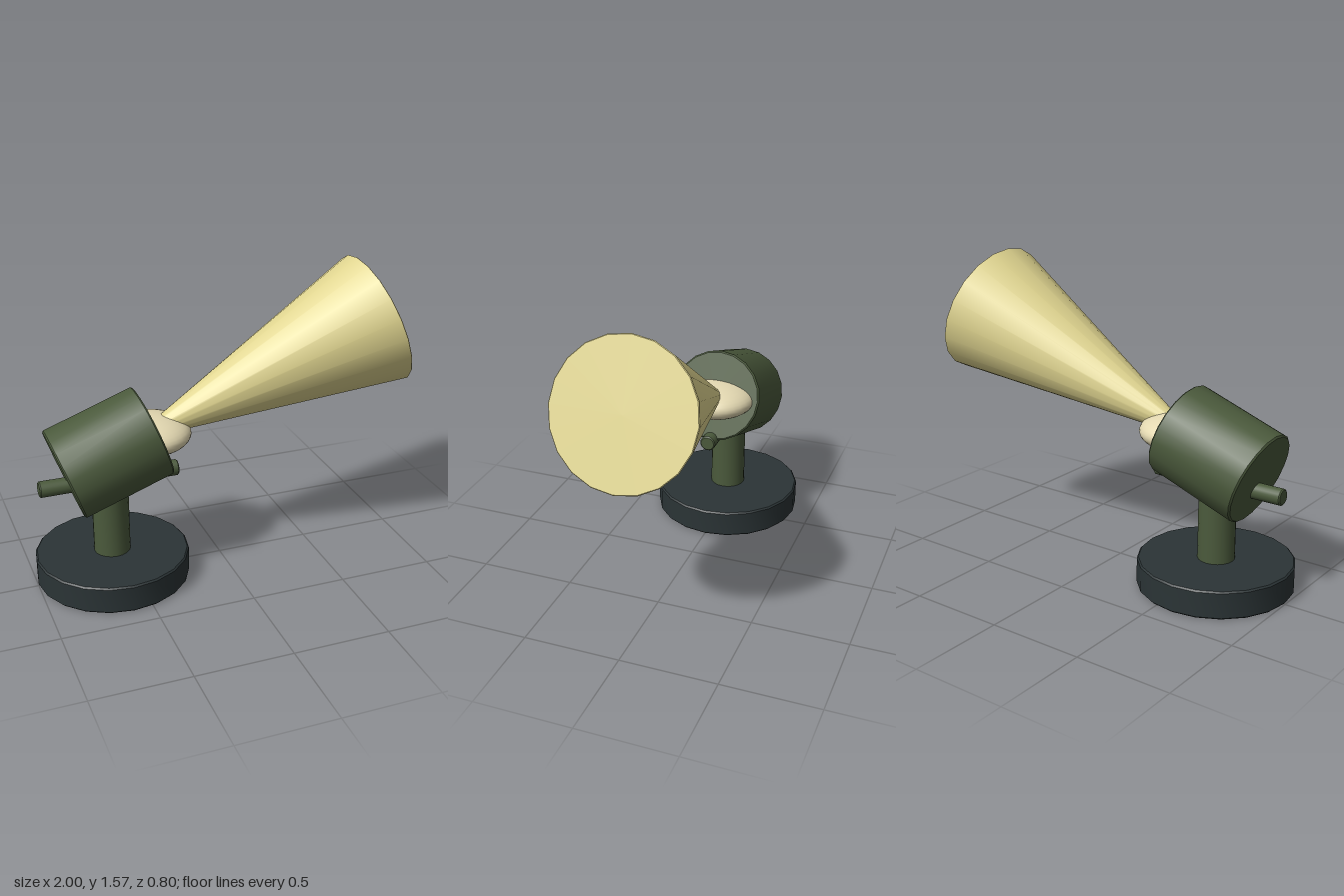
import * as THREE from 'three';
import { toCreasedNormals } from 'three/addons/utils/BufferGeometryUtils.js';

const paint = (name, color) => {
  const m = new THREE.MeshStandardMaterial({ color });
  m.name = name;
  return m;
};

// Closed round part along y, centred, with a small bevel on both rims
function turned(r0, r1, length, bevel) {
  const h = length / 2;
  const profile = [
    [0, -h], [r0 - bevel, -h], [r0, -h + bevel],
    [r1, h - bevel], [r1 - bevel, h], [0, h],
  ].map(([x, y]) => new THREE.Vector2(x, y));
  return toCreasedNormals(new THREE.LatheGeometry(profile, 20), 0.5);
}

export function createModel() {
  const model = new THREE.Group();
  model.name = 'searchlight';
  const baseMat = paint('dark slate', 0x2b3436);
  const green = paint('olive green', 0x4b5a3c);
  const lensMat = paint('pale cream', 0xe4d9b2);
  const beamMat = paint('warm yellow', 0xdfd48f);

  const add = (parent, name, geometry, material, x, y) => {
    const mesh = new THREE.Mesh(geometry, material);
    mesh.name = name;
    mesh.position.set(x, y, 0);
    parent.add(mesh);
    return mesh;
  };

  // Stand
  add(model, 'base', turned(0.4, 0.4, 0.145, 0.008), baseMat, -0.6, 0.0725);
  add(model, 'post', turned(0.095, 0.095, 0.42, 0.008), green, -0.6, 0.345);
  add(model, 'crossBar', turned(0.042, 0.042, 0.73, 0.006), green, -0.6, 0.553)
    .rotation.z = -Math.PI / 2;

  // Lamp head tilted 20 degrees upward; its own y axis is the aiming direction
  const head = new THREE.Group();
  head.name = 'lampHead';
  head.position.set(-0.6, 0.7, 0);
  head.rotation.z = THREE.MathUtils.degToRad(20 - 90);
  model.add(head);
  add(head, 'drum', turned(0.246, 0.246, 0.5, 0.008), green, 0, 0);

  // Light cone, starting inside the lens
  add(head, 'lightBeam', turned(0.036, 0.36, 1.32, 0.004), beamMat, 0, 0.25 + 0.66);

  // Flattened lens bulging from the drum face
  add(model, 'lens', new THREE.SphereGeometry(0.213, 32, 20), lensMat, -0.38, 0.772)
    .scale.set(1, 0.44, 1);

  return model;
}
